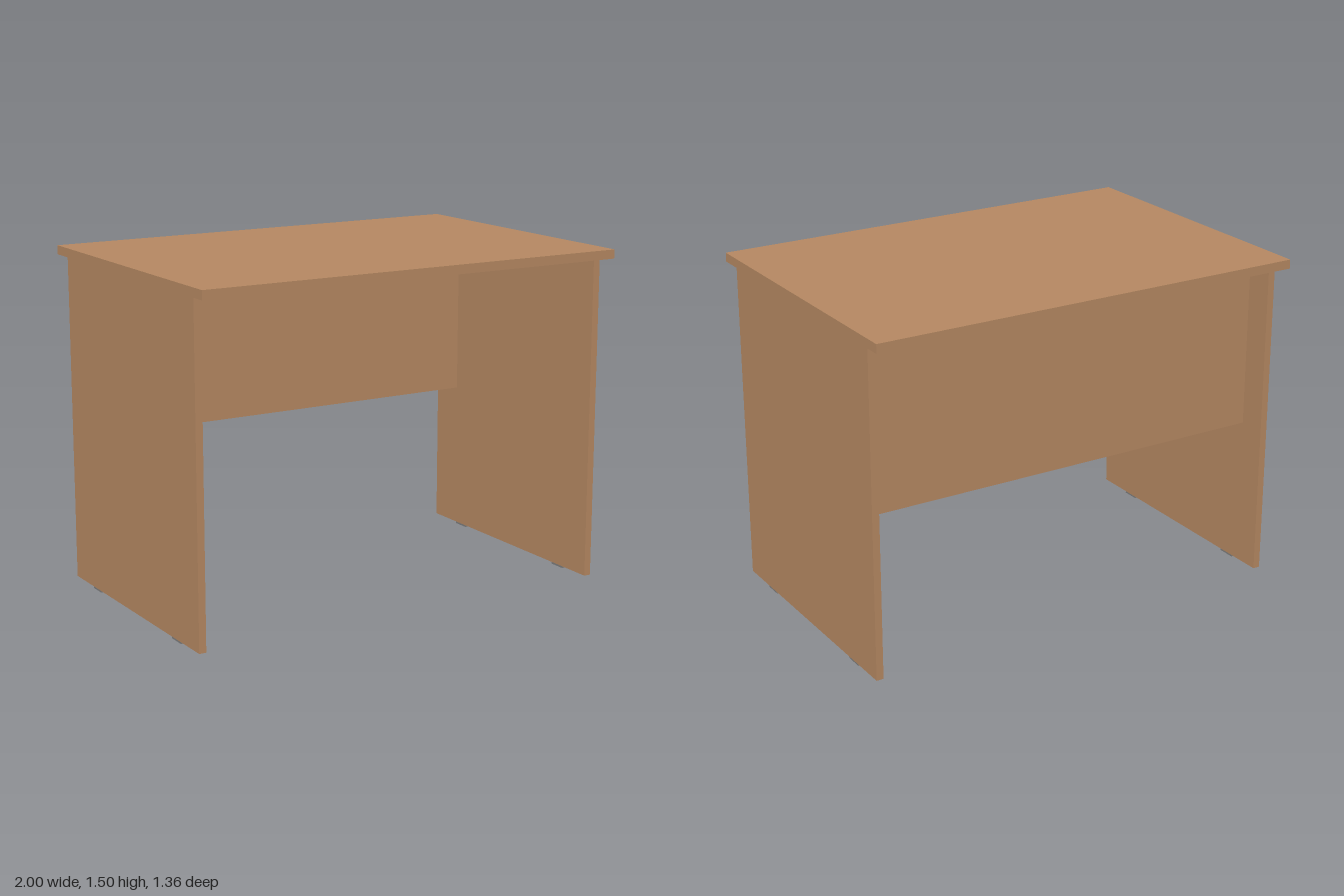
import * as THREE from 'three';

export function createModel() {
  const desk = new THREE.Group();
  desk.name = 'desk';

  const wood = new THREE.MeshStandardMaterial({ color: 0xb48761 });
  wood.name = 'wood';
  const grey = new THREE.MeshStandardMaterial({ color: 0x7c7c7c });
  grey.name = 'foot grey';

  // Box given by its lower and upper corners
  const addBox = (name, material, [x0, y0, z0], [x1, y1, z1]) => {
    const mesh = new THREE.Mesh(new THREE.BoxGeometry(x1 - x0, y1 - y0, z1 - z0), material);
    mesh.position.set((x0 + x1) / 2, (y0 + y1) / 2, (z0 + z1) / 2);
    mesh.name = name;
    desk.add(mesh);
  };

  const legBottom = 0.01, topBottom = 1.46;

  addBox('tableTop', wood, [-1, topBottom, -0.68], [1, 1.5, 0.68]);

  // Panel between the legs, set in from the back
  addBox('modestyPanel', wood, [-0.96, 0.685, -0.465], [0.96, topBottom, -0.43]);

  for (const [side, s] of [['left', 1], ['right', -1]]) {
    const x = s * 0.976;
    addBox(side + 'SidePanel', wood, [x - 0.016, legBottom, -0.592], [x + 0.016, topBottom, 0.592]);

    // Two low glides under each side panel
    for (const [end, z] of [['Front', 0.385], ['Back', -0.385]]) {
      addBox(side + end + 'Foot', grey, [x - 0.013, 0, z - 0.04], [x + 0.013, legBottom, z + 0.04]);
    }
  }

  return desk;
}
